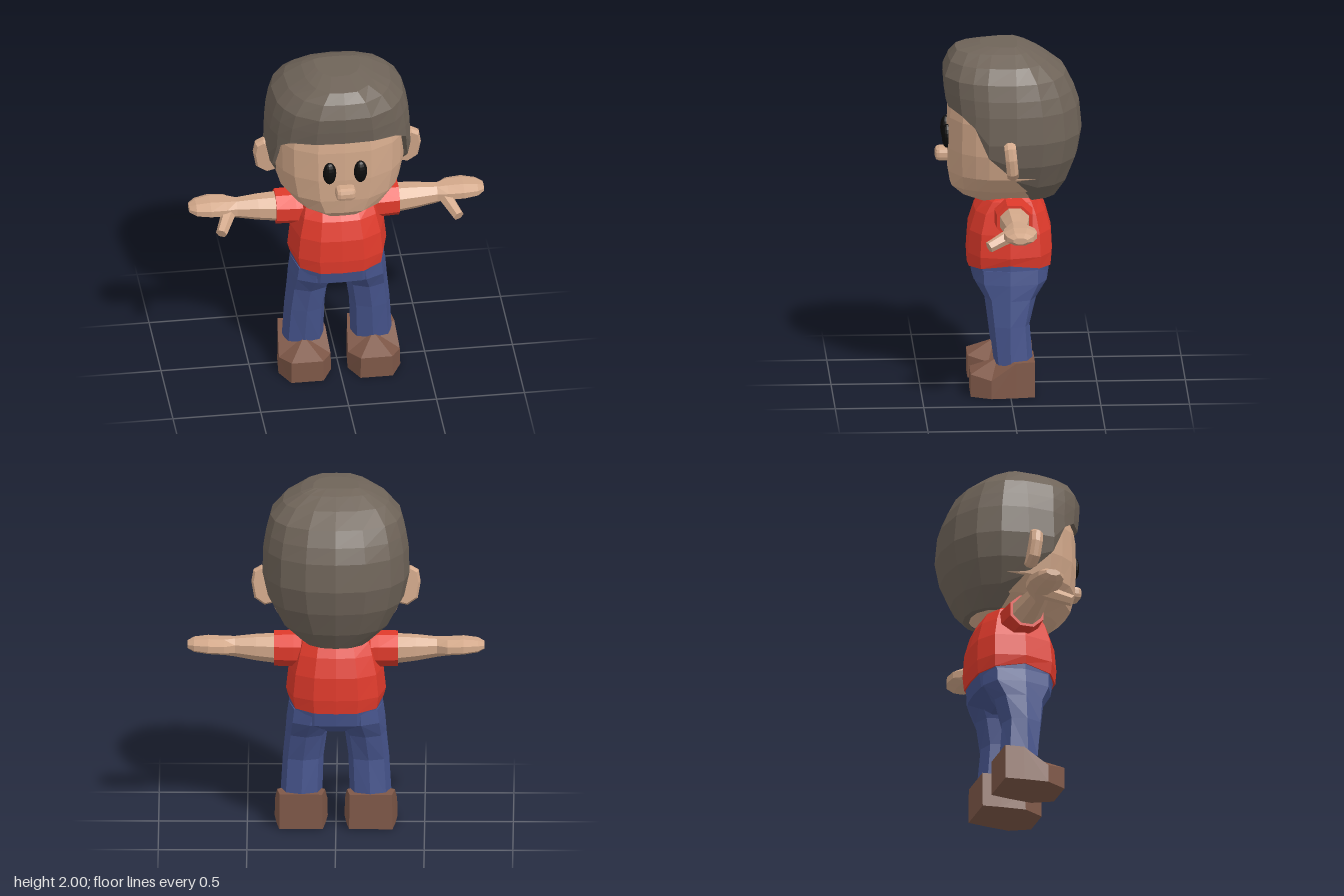
import * as THREE from 'three';
import { RoundedBoxGeometry } from 'three/addons/geometries/RoundedBoxGeometry.js';

const V = (x, y, z) => new THREE.Vector3(x, y, z);
const lerp = THREE.MathUtils.lerp;

const material = (name, color) => {
  const m = new THREE.MeshStandardMaterial({ color });
  m.name = name;
  return m;
};

// Unshared corners give every facet its own normal
function facet(geometry) {
  const g = geometry.index ? geometry.toNonIndexed() : geometry;
  g.computeVertexNormals();
  return g;
}

// Skin over a stack of closed rings, with fan caps at both ends
function loft(rings, { start = true, endCentre } = {}) {
  const points = [];
  const tri = (a, b, c) => {
    const area = b.clone().sub(a).cross(c.clone().sub(a)).length();
    if (area > 1e-7) points.push(a, b, c);
  };
  const n = rings[0].length;
  for (let i = 0; i < rings.length - 1; i++) {
    for (let j = 0; j < n; j++) {
      const k = (j + 1) % n;
      const [a, b, c, d] = [rings[i][j], rings[i][k], rings[i + 1][k], rings[i + 1][j]];
      tri(a, b, c);
      tri(a, c, d);
    }
  }
  const centre = (r) => r.reduce((s, p) => s.add(p), V(0, 0, 0)).divideScalar(n);
  const first = rings[0], last = rings[rings.length - 1];
  const c0 = centre(first), c1 = endCentre || centre(last);
  for (let j = 0; j < n; j++) {
    const k = (j + 1) % n;
    if (start) tri(c0, first[k], first[j]);
    tri(c1, last[j], last[k]);
  }
  return facet(new THREE.BufferGeometry().setFromPoints(points));
}

// Copy to the other side of x = 0 and keep faces turned outward
function mirrored(geometry) {
  const g = geometry.clone(), p = g.attributes.position;
  for (let i = 0; i < p.count; i += 3) {
    const t = [0, 2, 1].map((k) => V(0, 0, 0).fromBufferAttribute(p, i + k));
    t.forEach((v, k) => p.setXYZ(i + k, -v.x, v.y, v.z));
  }
  g.computeVertexNormals();
  return g;
}

const fullOutline = (half) =>
  half.concat(half.slice(1, -1).reverse().map(([x, z, ...rest]) => [-x, z, ...rest]));

// Horizontal ring from a unit outline: half width w, front f, back b
function section(outline, y, w, f, b, zc = 0) {
  return outline.map(([x, z]) =>
    V(x * w, typeof y === 'function' ? y(x, z) : y, zc + (z > 0 ? z * (f - zc) : z * (zc - b))));
}

// Ring across the x axis, for arms
function armRing([x, y, z, ry, rz]) {
  return Array.from({ length: 8 }, (_, i) => {
    const a = ((i + 0.5) / 8) * Math.PI * 2;
    return V(x, y + Math.cos(a) * ry * 1.07, z + Math.sin(a) * rz * 1.07);
  });
}

export function createModel() {
  const skin = material('skin', 0xd2a88a);
  const hairBrown = material('hair brown', 0x6f6459);
  const red = material('shirt red', 0xe03a2b);
  const blue = material('trouser blue', 0x46548c);
  const brown = material('shoe brown', 0x7f5848);
  const black = material('eye black', 0x0c0c0c);

  const model = new THREE.Group();
  model.name = 'figure';
  const add = (name, geometry, mat) => {
    const mesh = new THREE.Mesh(geometry, mat);
    mesh.name = name;
    model.add(mesh);
  };
  const addPair = (name, geometry, mat) => {
    const g = facet(geometry);
    add('left' + name, g, mat);
    add('right' + name, mirrored(g), mat);
  };

  // Head outline: x, z, height of the hairline there
  const headOutline = fullOutline([
    [0, 1, 1.67], [0.4, 0.98, 1.67], [0.74, 0.8, 1.65], [0.89, 0.6, 1.59], [0.97, 0.4, 1.42],
    [1, 0, 1.27], [0.93, -0.4, 1.12], [0.75, -0.72, 1.12], [0.41, -0.94, 1.12], [0, -1, 1.12],
  ]);
  const zc = -0.03;
  add('head', loft([
    [1.085, 0.12, 0.16, -0.18], [1.125, 0.18, 0.26, -0.22], [1.19, 0.27, 0.33, -0.27],
    [1.28, 0.345, 0.345, -0.32], [1.42, 0.375, 0.35, -0.34], [1.6, 0.38, 0.345, -0.34],
    [1.7, 0.36, 0.33, -0.3],
  ].map((r) => section(headOutline, ...r, zc))), skin);

  // Hair: y, half width, front, back; every column stops at its hairline
  const hairRows = [
    [1.12, 0.2, 0.28, -0.27], [1.22, 0.31, 0.34, -0.335], [1.36, 0.385, 0.36, -0.39],
    [1.5, 0.415, 0.36, -0.415], [1.66, 0.41, 0.352, -0.4], [1.75, 0.395, 0.365, -0.37],
    [1.84, 0.37, 0.372, -0.325], [1.92, 0.3, 0.34, -0.22], [1.975, 0.2, 0.3, -0.12],
    [2, 0.13, 0.16, -0.05],
  ];
  const hairAt = (y) => {
    const i = Math.max(0, hairRows.findIndex((r) => r[0] >= y) - 1);
    const [a, b] = [hairRows[i], hairRows[i + 1]];
    return a.map((v, k) => lerp(v, b[k], (y - a[0]) / (b[0] - a[0])));
  };
  const hairPoint = (column, y, scale = 1) => {
    const p = section([column], ...hairAt(Math.max(y, column[2])), zc)[0];
    return V(p.x * scale, p.y, zc + (p.z - zc) * scale);
  };
  const hairRings = hairRows.map(([y]) => headOutline.map((c) => hairPoint(c, y)));
  hairRings.unshift(headOutline.map((c) => hairPoint(c, 0, 0.85)));
  add('hair', loft(hairRings, { start: false }), hairBrown);

  // Eyes, nose and ears
  const eye = new THREE.SphereGeometry(1, 14, 10);
  eye.scale(0.038, 0.07, 0.03).translate(0.088, 1.475, 0.35);
  addPair('Eye', eye, black);
  const nose = new RoundedBoxGeometry(0.115, 0.075, 0.1, 1, 0.025);
  add('nose', facet(nose.translate(0, 1.352, 0.365)), skin);
  const earShape = new THREE.Shape([
    [0.36, 1.32], [0.4, 1.31], [0.45, 1.345], [0.465, 1.43], [0.455, 1.49], [0.42, 1.51], [0.36, 1.48],
  ].map(([x, y]) => new THREE.Vector2(x, y)));
  const ear = new THREE.ExtrudeGeometry(earShape, {
    depth: 0.025, bevelEnabled: true, bevelSize: 0.012, bevelThickness: 0.02, bevelSegments: 1,
  });
  ear.translate(0, -1.41, -0.012).rotateX(0.1).translate(0, 1.41, 0);
  addPair('Ear', ear, skin);

  // Shirt with a hem that rises at the sides
  const bodyOutline = fullOutline([
    [0, 1], [0.45, 0.97], [0.85, 0.7], [1, 0], [0.85, -0.7], [0.45, -0.97], [0, -1],
  ]);
  add('shirt', loft([
    [(x, z) => 0.72 + 0.035 * (1 - Math.abs(z)), 0.27, 0.235, -0.24], [0.8, 0.282, 0.24, -0.247],
    [0.93, 0.268, 0.23, -0.24], [1.04, 0.24, 0.195, -0.21], [1.11, 0.22, 0.14, -0.175],
    [1.135, 0.19, 0.09, -0.14],
  ].map((r) => section(bodyOutline, ...r))), red);

  // Sleeves, arms with flat hands, thumbs: rings of x, y, z, ry, rz
  addPair('Sleeve', loft([
    [0.14, 1.04, -0.02, 0.092, 0.11], [0.24, 1.04, -0.02, 0.095, 0.108], [0.35, 1.04, -0.02, 0.093, 0.1],
  ].map(armRing)), red);
  addPair('Arm', loft([
    [0.33, 1.04, -0.02, 0.08, 0.085], [0.45, 1.045, -0.02, 0.07, 0.073], [0.57, 1.05, -0.02, 0.054, 0.056],
    [0.63, 1.06, -0.035, 0.046, 0.088], [0.72, 1.065, -0.035, 0.045, 0.095],
    [0.8, 1.065, -0.03, 0.036, 0.075], [0.838, 1.065, -0.03, 0.018, 0.04],
  ].map(armRing)), skin);
  const thumbFrom = V(0.61, 1.045, 0), thumbTo = V(0.675, 0.985, 0.14);
  const thumbAxis = thumbTo.clone().sub(thumbFrom);
  const thumb = new THREE.CylinderGeometry(0.032, 0.042, thumbAxis.length(), 6);
  thumb.applyQuaternion(new THREE.Quaternion().setFromUnitVectors(V(0, 1, 0), thumbAxis.clone().normalize()));
  const thumbMid = thumbFrom.clone().lerp(thumbTo, 0.5);
  addPair('Thumb', thumb.translate(thumbMid.x, thumbMid.y, thumbMid.z), skin);

  // Trousers: hips and two legs
  add('hips', loft([
    [0.57, 0.1, 0.1, -0.1], [0.64, 0.265, 0.205, -0.22], [0.77, 0.265, 0.232, -0.238],
  ].map((r) => section(bodyOutline, ...r))), blue);
  const legOutline = fullOutline([[0, 1], [0.75, 0.75], [1, 0], [0.75, -0.75], [0, -1]]);
  addPair('Leg', loft([
    [0.18, 0.195, 0.118, 0.09, -0.13], [0.4, 0.185, 0.115, 0.118, -0.112],
    [0.55, 0.167, 0.118, 0.14, -0.15], [0.64, 0.143, 0.135, 0.195, -0.21], [0.72, 0.137, 0.13, 0.2, -0.21],
  ].map(([y, x, w, f, b]) => section(legOutline, y, w, f, b).map((p) => p.add(V(x, 0, 0))))), blue);

  // Shoes: x, z and top height around the sole
  const shoeOutline = fullOutline([
    [0, 0.225, 0.13], [0.09, 0.225, 0.13], [0.147, 0.11, 0.105], [0.135, -0.03, 0.203],
    [0.12, -0.137, 0.205], [0, -0.137, 0.205],
  ]);
  const shoeX = 0.197;
  addPair('Shoe', loft([
    shoeOutline.map(([x, z]) => V(shoeX + x * 1.02, 0, z)),
    shoeOutline.map(([x, z, y]) => V(shoeX + x, y, z)),
  ], { endCentre: V(shoeX, 0.205, 0.07) }), brown);

  return model;
}
